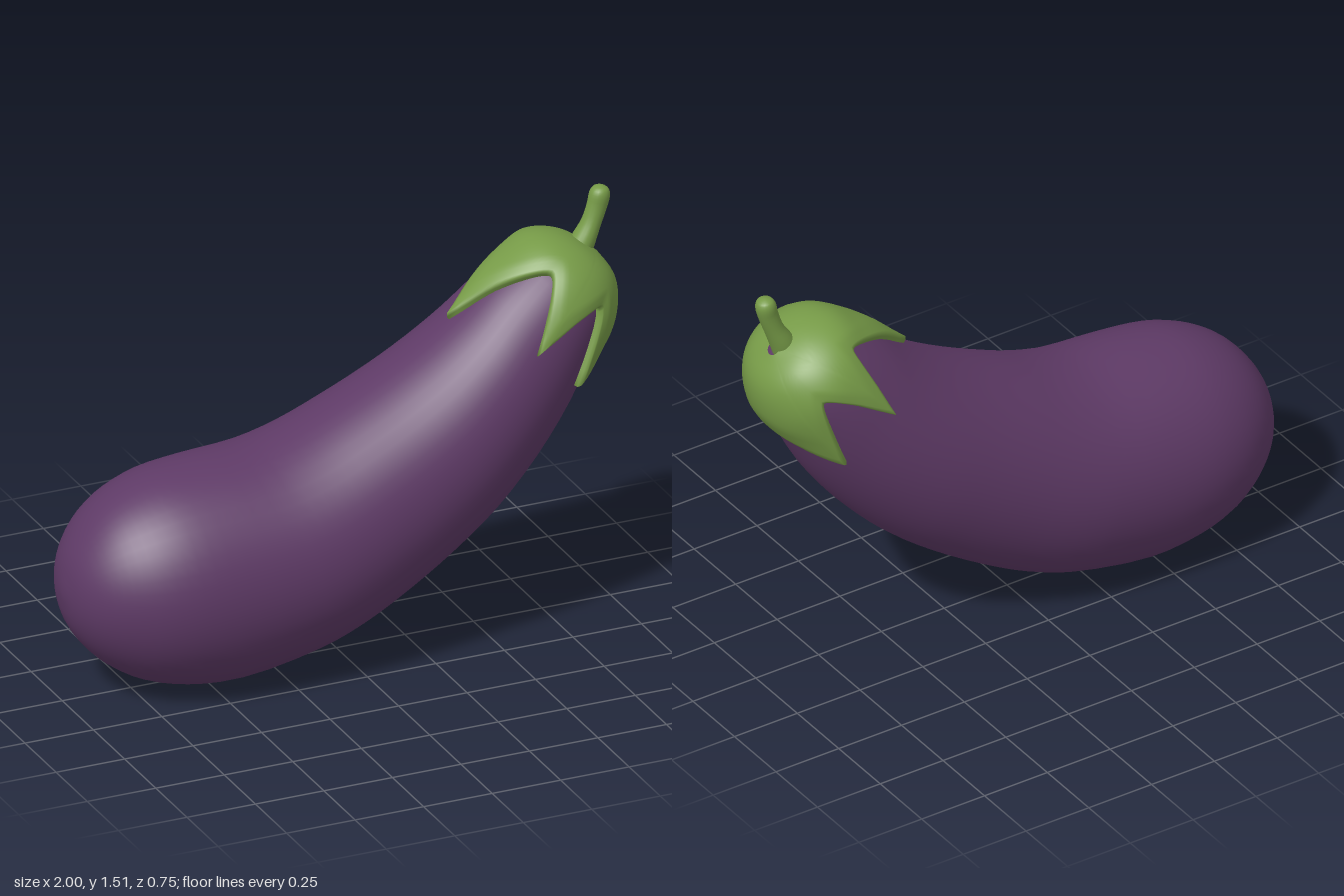
import * as THREE from 'three';
import { mergeVertices } from 'three/addons/utils/BufferGeometryUtils.js';

const rad = THREE.MathUtils.degToRad;

// Each station: upper x, y, lower x, y, half width in z
const BODY = [
  [-1, 0.4, -1, 0.4, 0],
  [-0.98, 0.51, -0.98, 0.29, 0.11],
  [-0.93, 0.6, -0.93, 0.2, 0.2],
  [-0.86, 0.675, -0.85, 0.12, 0.27],
  [-0.77, 0.73, -0.74, 0.055, 0.325],
  [-0.66, 0.768, -0.6, 0.016, 0.358],
  [-0.5, 0.788, -0.42, 0.004, 0.372],
  [-0.3, 0.8, -0.13, 0.06, 0.375],
  [-0.15, 0.838, 0.02, 0.115, 0.368],
  [0, 0.9, 0.19, 0.205, 0.353],
  [0.17, 0.98, 0.36, 0.315, 0.337],
  [0.32, 1.065, 0.52, 0.44, 0.32],
  [0.44, 1.15, 0.68, 0.605, 0.292],
  [0.54, 1.235, 0.81, 0.78, 0.26],
  [0.63, 1.295, 0.9, 0.95, 0.232],
  [0.72, 1.342, 0.958, 1.07, 0.195],
  [0.81, 1.335, 0.968, 1.18, 0.125],
  [0.91, 1.28, 0.91, 1.28, 0],
];

const STEM = [
  [0.845, 1.32, 0.925, 1.27, 0.046],
  [0.87, 1.352, 0.94, 1.315, 0.044],
  [0.9, 1.4, 0.962, 1.375, 0.036],
  [0.918, 1.455, 0.985, 1.435, 0.034],
  [0.926, 1.49, 0.996, 1.478, 0.036],
  [0.938, 1.508, 0.99, 1.502, 0.028],
  [0.965, 1.515, 0.965, 1.515, 0],
];

// Smooth surface through elliptical stations: u is the station number, a the angle from the top
function sweep(stations) {
  const upper = new THREE.CatmullRomCurve3(stations.map(s => new THREE.Vector3(s[0], s[1], s[4])));
  const lower = new THREE.CatmullRomCurve3(stations.map(s => new THREE.Vector3(s[2], s[3], s[4])));
  const last = stations.length - 1;
  return (u, a) => {
    const t = THREE.MathUtils.clamp(u / last, 0, 1);
    const p = upper.getPoint(t), q = lower.getPoint(t);
    const k = (1 + Math.cos(a)) / 2;
    return new THREE.Vector3(
      q.x + (p.x - q.x) * k, q.y + (p.y - q.y) * k, p.z * Math.sin(a));
  };
}

// Closed-round grid of points, row by row
function skin(rows, cols, pointAt) {
  const pos = [], index = [];
  for (let r = 0; r <= rows; r++)
    for (let c = 0; c < cols; c++) pos.push(...pointAt(r, (c / cols) * Math.PI * 2).toArray());
  for (let r = 0; r < rows; r++)
    for (let c = 0; c < cols; c++) {
      const d = (c + 1) % cols, A = r * cols + c, B = r * cols + d;
      index.push(A, B, B + cols, A, B + cols, A + cols);
    }
  let g = new THREE.BufferGeometry();
  g.setAttribute('position', new THREE.Float32BufferAttribute(pos, 3));
  g.setIndex(index);
  g = mergeVertices(g, 1e-5);
  g.computeVertexNormals();
  return g;
}

// Outward direction of a swept surface
function outward(surface, u, a) {
  const e = 0.02;
  const da = surface(u, a + e).sub(surface(u, a - e));
  const du = surface(u + e, a).sub(surface(u - e, a));
  return da.cross(du).normalize();
}

// Calyx edge: alternating lobe tips and valleys as [angle, u]
const EDGE = [[0, 11.75], [43, 14.6], [72, 12.85], [102, 14.9], [126, 13.2], [180, 14.4]];
function calyxEdge(a) {
  let deg = THREE.MathUtils.radToDeg(a);
  if (deg > 180) deg = 360 - deg;
  let i = 0;
  while (i < EDGE.length - 2 && deg > EDGE[i + 1][0]) i++;
  const tipFirst = i % 2 === 0;
  const tip = EDGE[tipFirst ? i : i + 1], valley = EDGE[tipFirst ? i + 1 : i];
  const s = THREE.MathUtils.clamp((deg - tip[0]) / (valley[0] - tip[0]), 0, 1);
  return valley[1] - (valley[1] - tip[1]) * Math.pow(1 - s, 1.5);
}

export function createModel() {
  const purple = new THREE.MeshStandardMaterial({ name: 'purple skin', color: 0x5e3a66 });
  const green = new THREE.MeshStandardMaterial({ name: 'green calyx', color: 0x769a47 });
  const group = new THREE.Group();
  group.name = 'eggplant';
  const add = (name, geometry, material) => {
    const m = new THREE.Mesh(geometry, material);
    m.name = name;
    group.add(m);
  };

  // Fruit
  const body = sweep(BODY);
  const end = BODY.length - 1;
  add('fruit', skin(end * 3, 48, (r, a) => body(r / 3, a)), purple);

  // Five-lobed cap: a rim rising off the skin, then a shell up to the stem
  const rows = 18;
  add('calyx', skin(rows, 120, (r, a) => {
    const edge = calyxEdge(a);
    const t = Math.max(0, r - 2) / (rows - 2);
    const u = edge + (end - 0.15 - edge) * t;
    const lift = r === 0 ? -0.006 : r === 1 ? 0.014 : 0.024 + 0.008 * Math.min(1, t * 4);
    const shift = r === 2 ? 0.06 : 0;
    return body(u + shift, a).addScaledVector(outward(body, u + shift, a), lift);
  }), green);

  // Stem
  const stem = sweep(STEM);
  const stemEnd = STEM.length - 1;
  add('stem', skin(stemEnd * 3, 20, (r, a) => stem(r / 3, a)), green);

  return group;
}
